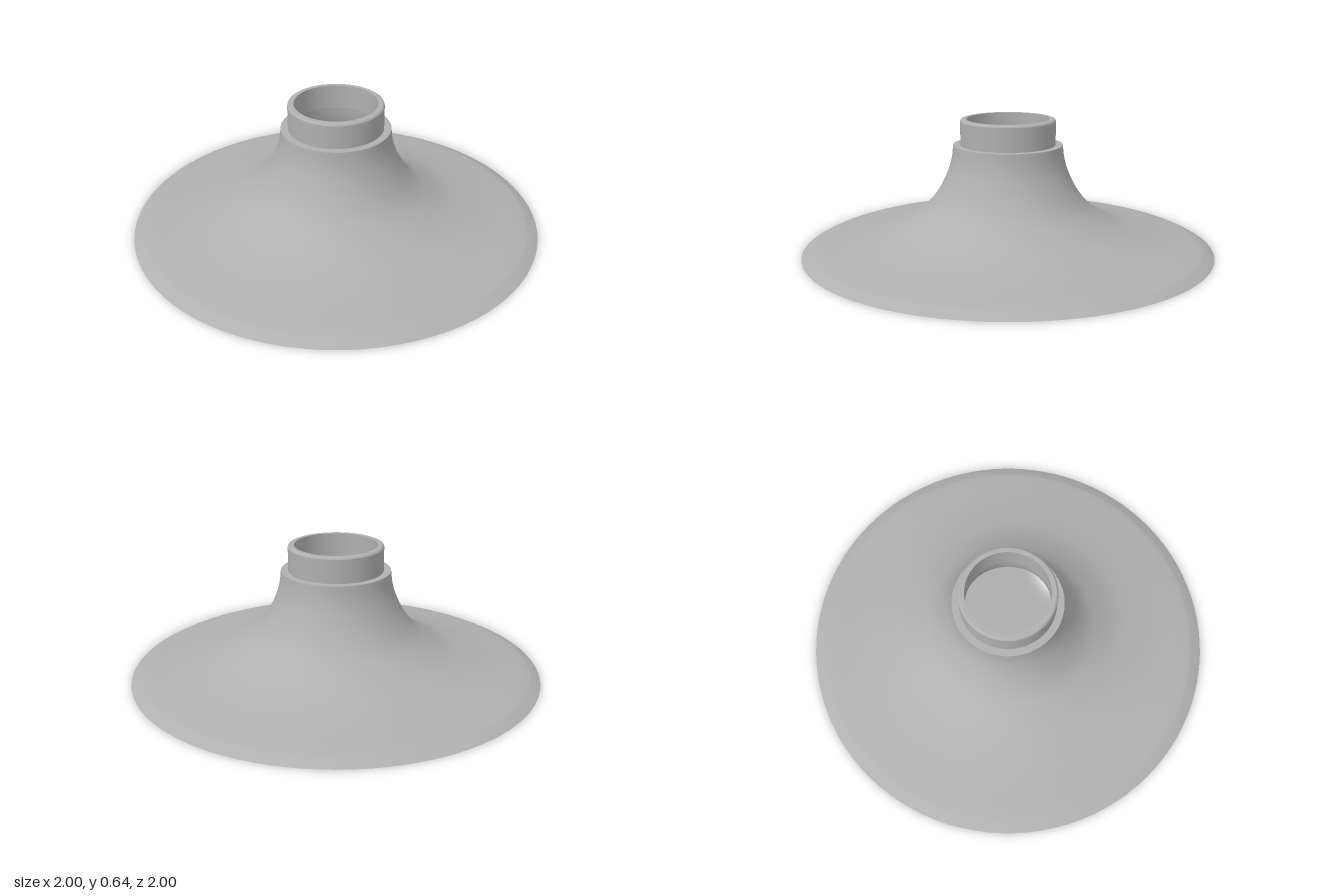
import * as THREE from 'three';

const SEGMENTS = 96;

export function createModel() {
  const model = new THREE.Group();
  model.name = 'flaredCollar';
  const grey = new THREE.MeshStandardMaterial({ color: 0xb0b0b0 });
  grey.name = 'plain grey';

  const points = (list) => list.map(([r, y]) => new THREE.Vector2(r, y));
  const curve = (list, n) => new THREE.SplineCurve(points(list)).getPoints(n);

  // Each surface is its own lathe, so edges between them stay sharp
  const addLathe = (name, profile) => {
    const mesh = new THREE.Mesh(new THREE.LatheGeometry(profile, SEGMENTS), grey);
    mesh.name = name;
    model.add(mesh);
  };

  // Trumpet-shaped outside with a rolled lower rim
  addLathe('flare', curve([
    [1, 0], [0.965, 0.018], [0.92, 0.033], [0.74, 0.065], [0.58, 0.11],
    [0.47, 0.165], [0.39, 0.225], [0.33, 0.305], [0.29, 0.39], [0.272, 0.455], [0.265, 0.515],
  ], 48));

  // Flat step around the neck
  addLathe('shoulder', points([[0.265, 0.515], [0.23, 0.515]]));

  // Straight neck with a rounded lip
  addLathe('neck', points([[0.23, 0.515], [0.23, 0.63]]));
  addLathe('lip', points([[0.23, 0.63], [0.227, 0.637], [0.22, 0.64]]));
  addLathe('neckTop', points([[0.22, 0.64], [0.2, 0.64]]));

  // Straight bore opening into a wide funnel below
  addLathe('bore', points([[0.2, 0.64], [0.2, 0.52]]));
  addLathe('funnel', curve([
    [0.2, 0.52], [0.212, 0.45], [0.248, 0.36], [0.31, 0.25], [0.4, 0.125], [0.505, 0],
  ], 24));

  // Flat ring it stands on
  addLathe('base', points([[0.505, 0], [1, 0]]));

  return model;
}
